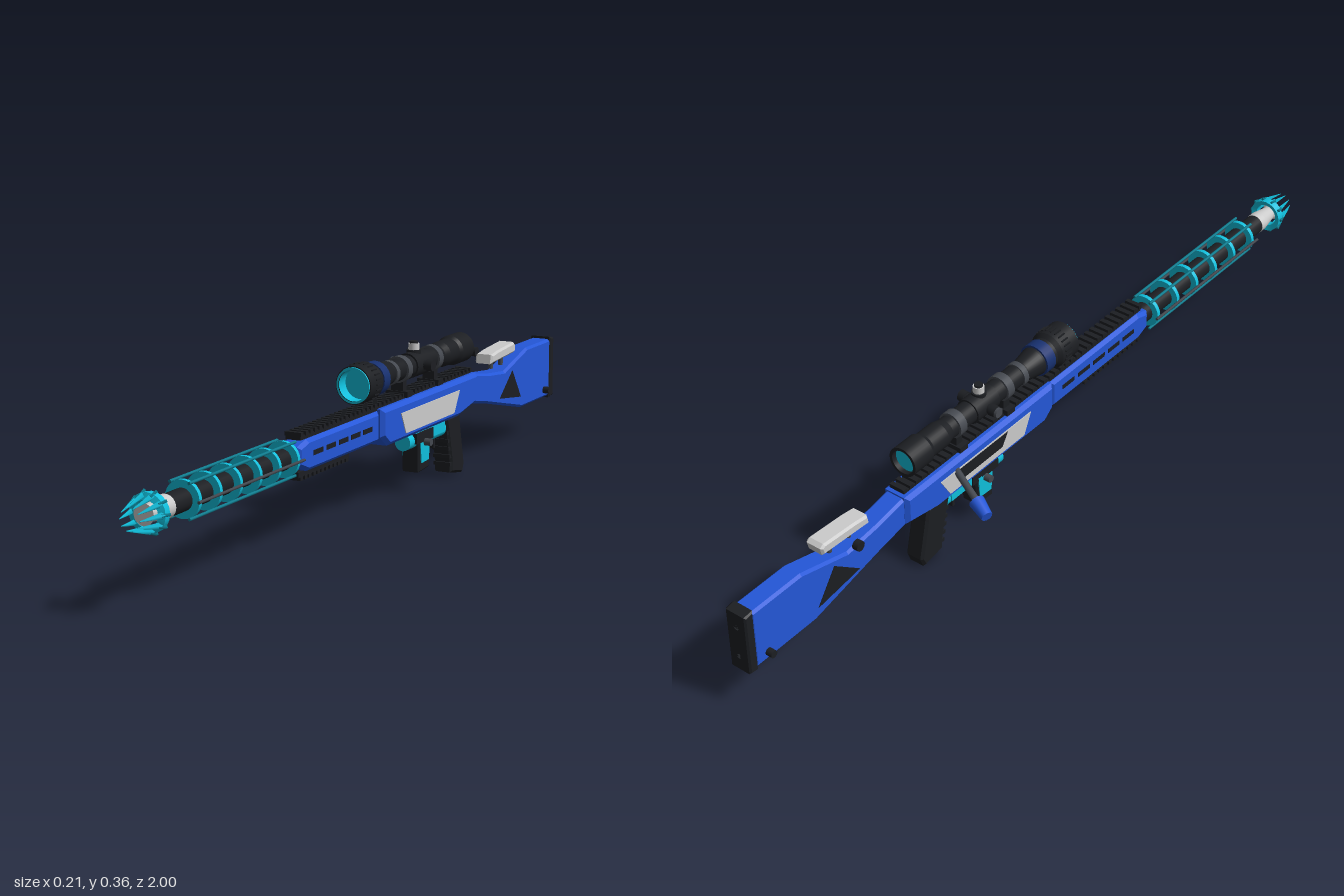
import * as THREE from 'three';

const mat = (c) => new THREE.MeshStandardMaterial({ color: c, side: THREE.DoubleSide });

export function createModel() {
  const blue = mat(0x2457d8), cyan = mat(0x10bfdc), black = mat(0x1c1e22), steel = mat(0x44484f);
  const grey = mat(0xcccccc), navy = mat(0x17306f), teal = mat(0x0c7f92);
  const root = new THREE.Group();
  root.name = 'rifle';
  const body = new THREE.Group(); // everything is laid out around the bore plane
  body.name = 'rifleBody';
  body.position.x = 0.054;
  root.add(body);

  const add = (name, geo, m, x = 0, y = 0, z = 0) => {
    const mesh = new THREE.Mesh(geo, m);
    mesh.name = name;
    mesh.position.set(x, y, z);
    body.add(mesh);
    return mesh;
  };
  const box = (name, m, w, h, d, x, y, z) => add(name, new THREE.BoxGeometry(w, h, d), m, x, y, z);
  // Cylinder along z: r1 at the front (z1), r0 at the back (z0)
  const rodZ = (name, m, r1, r0, z1, z0, y, x = 0, seg = 24) =>
    add(name, new THREE.CylinderGeometry(r1, r0, z1 - z0, seg).rotateX(Math.PI / 2), m, x, y, (z0 + z1) / 2);
  const rodX = (name, m, r, len, x, y, z, seg = 16) =>
    add(name, new THREE.CylinderGeometry(r, r, len, seg).rotateZ(Math.PI / 2), m, x, y, z);
  const between = (name, m, a, b, ra, rb, seg = 12) => {
    const p = new THREE.Vector3(...a), q = new THREE.Vector3(...b), d = q.clone().sub(p);
    const mesh = add(name, new THREE.CylinderGeometry(rb, ra, d.length(), seg), m);
    mesh.position.copy(p).add(q).multiplyScalar(0.5);
    mesh.quaternion.setFromUnitVectors(new THREE.Vector3(0, 1, 0), d.normalize());
    return mesh;
  };
  // Side outline given as [z, y], extruded to width w with bevel b
  const slab = (name, m, pts, w, b = 0, x = 0) => {
    const shape = new THREE.Shape(pts.map((p) => new THREE.Vector2(...p)));
    const geo = new THREE.ExtrudeGeometry(shape, {
      depth: w - 2 * b, bevelEnabled: b > 0, bevelSize: b, bevelThickness: b, bevelOffset: -b, bevelSegments: 1,
    });
    geo.translate(0, 0, -(w - 2 * b) / 2).rotateY(-Math.PI / 2);
    return add(name, geo, m, x);
  };
  // Profile [r, z] turned around an axis along z
  const turned = (name, m, pts, y, seg = 32) => {
    for (let i = 0; i + 1 < pts.length; i++) {
      const [[r0, z0], [r1, z1]] = [pts[i], pts[i + 1]];
      const geo = new THREE.LatheGeometry([new THREE.Vector2(r0, z0), new THREE.Vector2(r1, z1)], seg);
      add(name, geo.rotateX(Math.PI / 2), m, 0, y);
    }
  };
  const Y = 0.203;

  // Barrel, muzzle cone and spiked crown
  rodZ('barrel', black, 0.024, 0.024, 0.875, 0.36, Y);
  rodZ('muzzleCollar', grey, 0.025, 0.025, 0.89, 0.872, Y);
  rodZ('muzzleCone', grey, 0.017, 0.025, 0.935, 0.89, Y);
  rodZ('muzzleTip', grey, 0.023, 0.017, 0.95, 0.935, Y);
  turned('crownRing', cyan, [[0.028, 0.925], [0.041, 0.92], [0.042, 0.938], [0.028, 0.943], [0.028, 0.925]], Y, 20);
  for (let i = 0; i < 10; i++) {
    const a = (i / 10) * Math.PI * 2, c = Math.cos(a), s = Math.sin(a);
    between('crownSpike', cyan, [c * 0.036, Y + s * 0.036, 0.938], [c * 0.023, Y + s * 0.023, 1.0], 0.007, 0.001, 4);
    between('crownBarb', teal, [c * 0.037, Y + s * 0.037, 0.945], [c * 0.044, Y + s * 0.044, 0.925], 0.004, 0.004, 4);
  }

  // Barrel cage: rings and six rods
  for (let i = 0; i < 6; i++) {
    const z = 0.405 + i * 0.08;
    turned('cageRing', cyan, [[0.024, z - 0.005], [0.04, z - 0.005], [0.04, z + 0.005], [0.024, z + 0.005]], Y, 24);
    const a = (i / 6) * Math.PI * 2;
    rodZ('cageRod', i % 3 ? teal : steel, 0.0035, 0.0035, 0.82, 0.39, Y + Math.sin(a) * 0.042, Math.cos(a) * 0.044, 6);
  }

  // Handguard with side slots and lower rail
  slab('handguard', blue, [[0.38, 0.182], [0.34, 0.166], [0.005, 0.166], [0.005, 0.236], [0.34, 0.236], [0.38, 0.225]], 0.055, 0.008);
  for (const s of [-1, 1]) for (let i = 0; i < 5; i++)
    box('handguardSlot', black, 0.002, 0.011, 0.044, s * 0.0275, 0.203, 0.298 - i * 0.058);
  box('lowerRail', black, 0.032, 0.012, 0.23, 0, 0.161, 0.25);
  for (let i = 0; i < 12; i++) box('lowerRailTooth', black, 0.036, 0.008, 0.011, 0, 0.152, 0.355 - i * 0.019);

  // Receiver, side panels and ejection port
  slab('receiver', blue, [[0.003, 0.175], [-0.03, 0.15], [-0.41, 0.15], [-0.51, 0.168], [-0.51, 0.24], [0.003, 0.24]], 0.07, 0.009);
  for (const s of [-1, 1])
    slab('sidePanel', grey, [[-0.085, 0.216], [-0.11, 0.165], [-0.37, 0.165], [-0.4, 0.216]], 0.003, 0, s * 0.0355);
  slab('ejectionPort', black, [[-0.17, 0.213], [-0.19, 0.182], [-0.335, 0.182], [-0.345, 0.213]], 0.004, 0, -0.036);

  // Top rail
  box('topRail', black, 0.036, 0.01, 0.86, 0, 0.241, -0.07);
  for (let i = 0; i < 43; i++) box('topRailTooth', black, 0.04, 0.009, 0.011, 0, 0.2485, 0.355 - i * 0.0203);

  // Bolt handle
  between('boltArm', steel, [-0.025, 0.214, -0.34], [-0.118, 0.19, -0.378], 0.008, 0.008);
  between('boltKnob', blue, [-0.115, 0.188, -0.376], [-0.156, 0.176, -0.392], 0.0185, 0.0135, 10);

  // Stock, triangle inlays, butt plate and sling pin
  slab('stock', blue, [[-0.505, 0.163], [-0.58, 0.15], [-0.8, 0.101], [-0.98, 0.101], [-0.98, 0.251], [-0.83, 0.251],
    [-0.69, 0.213], [-0.6, 0.222], [-0.505, 0.237]], 0.052, 0.006);
  for (const s of [-1, 1])
    slab('stockInlay', black, [[-0.735, 0.207], [-0.66, 0.148], [-0.79, 0.131]], 0.003, 0, s * 0.026);
  slab('buttPlate', black, [[-0.975, 0.096], [-1, 0.099], [-1, 0.253], [-0.975, 0.257]], 0.056, 0.004);
  for (const y of [0.135, 0.215]) rodZ('buttScrew', steel, 0.007, 0.007, -0.99, -1.0, y, 0, 8);
  rodX('slingPin', black, 0.009, 0.084, 0, 0.122, -0.943);

  // Cheek rest with posts and adjusting knob
  slab('cheekRest', grey, [[-0.615, 0.242], [-0.62, 0.265], [-0.655, 0.27], [-0.755, 0.277], [-0.765, 0.27], [-0.76, 0.25]], 0.046, 0.005);
  for (const z of [-0.66, -0.72]) rodZ('cheekPost', steel, 0.006, 0.006, z + 0.012, z - 0.012, 0.235).rotation.x = Math.PI / 2;
  rodX('cheekKnob', black, 0.012, 0.014, -0.061, 0.255, -0.695, 12);

  // Trigger housing, magazine and cross pin
  rodZ('housingTube', cyan, 0.02, 0.02, -0.165, -0.36, 0.128);
  box('housingBlock', cyan, 0.044, 0.03, 0.16, 0, 0.138, -0.27);
  slab('magazine', black, [[-0.205, 0.15], [-0.208, 0.05], [-0.262, 0.054], [-0.268, 0.15]], 0.046, 0.004);
  slab('magazineTrim', cyan, [[-0.21, 0.13], [-0.216, 0.072], [-0.256, 0.074], [-0.26, 0.13]], 0.05);
  box('magazineWell', black, 0.05, 0.025, 0.09, 0, 0.134, -0.235);
  rodX('crossPin', steel, 0.009, 0.082, 0, 0.12, -0.235, 12);
  box('trigger', black, 0.01, 0.035, 0.008, 0, 0.103, -0.325);

  // Pistol grip with ridges
  slab('grip', black, [[-0.355, 0.152], [-0.365, 0.12], [-0.385, 0.04], [-0.385, 0.014], [-0.45, 0.002], [-0.459, 0.025],
    [-0.437, 0.12], [-0.43, 0.155]], 0.048, 0.006);
  for (let i = 0; i < 5; i++)
    box('gripRidge', black, 0.044, 0.009, 0.012, 0, 0.115 - i * 0.02, -0.368 - i * 0.0045);

  // Scope tube, bells and lenses
  const S = 0.306;
  turned('scopeBody', black, [[0.036, 0.083], [0.044, 0.083], [0.045, 0.025], [0.037, 0.015], [0.034, -0.03], [0.026, -0.075],
    [0.026, -0.34], [0.031, -0.36], [0.031, -0.41], [0.036, -0.42], [0.036, -0.48], [0.029, -0.48], [0.029, -0.465]], S);
  turned('scopeHoodInside', cyan, [[0.036, 0.083], [0.036, 0.05]], S);
  turned('scopeFrontRing', cyan, [[0.036, 0.086], [0.041, 0.086], [0.042, 0.08]], S);
  rodZ('frontLens', cyan, 0.036, 0.036, 0.052, 0.045, S);
  rodZ('rearLens', cyan, 0.029, 0.029, -0.462, -0.468, S);
  rodZ('focusRing', navy, 0.039, 0.039, 0.005, -0.025, S);
  rodZ('tubeRing', steel, 0.029, 0.029, -0.08, -0.095, S);
  for (let i = 0; i < 24; i++) {
    const a = (i / 24) * Math.PI * 2;
    box('hoodStud', black, 0.003, 0.003, 0.022, Math.cos(a) * 0.0455, S + Math.sin(a) * 0.0455, 0.045);
  }

  // Scope mounts
  for (const z of [-0.145, -0.31]) {
    rodZ('mountRing', steel, 0.031, 0.031, z + 0.011, z - 0.011, S);
    box('mountPost', black, 0.03, 0.035, 0.02, 0, 0.264, z);
    box('mountClamp', black, 0.056, 0.014, 0.026, 0, 0.25, z);
  }

  // Scope turrets: one on top, one on each side
  rodZ('turretHousing', black, 0.03, 0.03, -0.185, -0.26, S);
  const up = (name, m, r, y0, y1) => add(name, new THREE.CylinderGeometry(r, r, y1 - y0, 16), m, 0, (y0 + y1) / 2, -0.222);
  up('topTurretBase', black, 0.017, 0.325, 0.34);
  up('topTurretCap', grey, 0.013, 0.34, 0.355);
  up('topTurretTop', black, 0.01, 0.355, 0.36);
  rodX('sideTurretStem', black, 0.011, 0.084, 0, S, -0.222);
  for (const s of [-1, 1]) rodX('sideTurretKnob', black, 0.014, 0.016, s * 0.043, S, -0.222, 12);
  rodX('sideTurretDial', steel, 0.012, 0.008, -0.053, S, -0.222, 12);

  return root;
}
